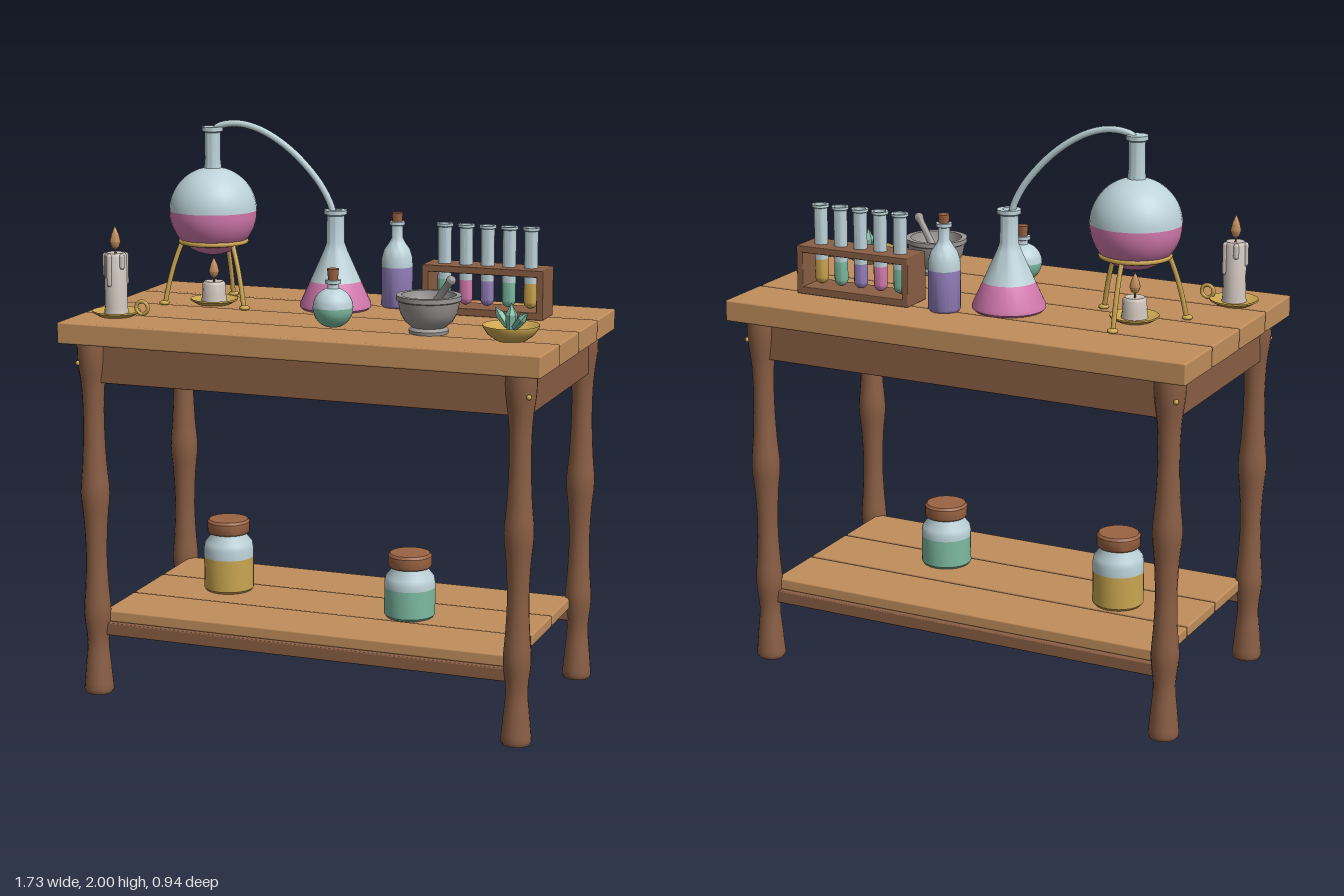
import * as THREE from 'three';
import { toCreasedNormals } from 'three/addons/utils/BufferGeometryUtils.js';
import { RoundedBoxGeometry } from 'three/addons/geometries/RoundedBoxGeometry.js';

const mat = (name, color) => {
  const m = new THREE.MeshStandardMaterial({ color });
  m.name = name;
  return m;
};

export function createModel() {
  const root = new THREE.Group();
  root.name = 'alchemyTable';
  const lightWood = mat('light wood', 0xc18e5c), darkWood = mat('dark wood', 0x8a5e44);
  const cork = mat('cork', 0x9c6443), glass = mat('glass', 0xbdd3d9);
  const pink = mat('pink liquid', 0xd67bb0), purple = mat('purple liquid', 0x9480bd);
  const green = mat('green', 0x7dbba2), gold = mat('gold', 0xcba650);
  const wax = mat('wax', 0xcfc4bc), stone = mat('stone', 0x9c9696);
  const TOP = 1.343, SHELF = 0.3;

  const group = (name, x = 0, y = 0, z = 0) => {
    const g = new THREE.Group();
    g.name = name;
    g.position.set(x, y, z);
    root.add(g);
    return g;
  };
  const add = (parent, name, geo, material, x = 0, y = 0, z = 0) => {
    const m = new THREE.Mesh(geo, material);
    m.name = name;
    m.position.set(x, y, z);
    parent.add(m);
    return m;
  };
  const box = (parent, name, m, w, h, d, x, y, z, r = 0.006) =>
    add(parent, name, new RoundedBoxGeometry(w, h, d, 2, r), m, x, y, z);
  // Turned part from [radius, height] pairs, listed bottom to top
  const turned = (parent, name, m, pts, x = 0, y = 0, z = 0, seg = 28) =>
    add(parent, name, toCreasedNormals(new THREE.LatheGeometry(
      pts.map(p => new THREE.Vector2(p[0], p[1])), seg), 0.65), m, x, y, z);
  const arc = (r, cy, a0, a1, n = 10) => Array.from({ length: n + 1 }, (_, i) => {
    const a = a0 + (a1 - a0) * i / n;
    return [Math.max(0, r * Math.cos(a)), cy + r * Math.sin(a)];
  });
  const curveTube = (parent, name, m, pts, r, seg = 24) =>
    add(parent, name, new THREE.TubeGeometry(new THREE.CatmullRomCurve3(
      pts.map(p => new THREE.Vector3(...p))), seg, r, 8), m);
  const H = Math.PI / 2;

  // Table top, shelf boards and rails
  const table = group('table');
  for (let i = 0; i < 4; i++)
    box(table, 'topPlank', lightWood, 1.725, 0.075, 0.226, 0, 1.306, (i - 1.5) * 0.238);
  for (let i = -1; i <= 1; i++)
    box(table, 'shelfPlank', lightWood, 1.5, 0.041, 0.24, 0, 0.28, i * 0.252);
  for (const s of [-1, 1]) {
    box(table, 'longApron', darkWood, 1.52, 0.143, 0.035, 0, 1.197, s * 0.38, 0.004);
    box(table, 'endApron', darkWood, 0.035, 0.143, 0.74, s * 0.785, 1.197, 0, 0.004);
    box(table, 'shelfRail', darkWood, 1.5, 0.045, 0.04, 0, 0.237, s * 0.37, 0.004);
  }
  // Turned legs, each with a peg on its outer corner
  const ctrl = [[0.053, 0.012], [0.045, 0.1], [0.038, 0.19], [0.048, 0.29], [0.042, 0.38], [0.037, 0.5],
    [0.042, 0.63], [0.051, 0.73], [0.043, 0.83], [0.037, 0.97], [0.04, 1.1], [0.052, 1.2], [0.053, 1.268]];
  const smooth = new THREE.SplineCurve(ctrl.map(p => new THREE.Vector2(...p))).getPoints(36).map(p => [p.x, p.y]);
  const legProfile = [[0, 0], [0.047, 0], ...smooth, [0, 1.268]];
  for (const sx of [-1, 1]) for (const sz of [-1, 1]) {
    turned(table, 'leg', darkWood, legProfile, sx * 0.773, 0, sz * 0.38, 16);
    add(table, 'peg', new THREE.SphereGeometry(0.009, 10, 8), gold, sx * 0.81, 1.195, sz * 0.417);
  }

  // Round flask, its lower half filled
  const still = group('roundFlask', -0.507, 0, -0.069);
  turned(still, 'flaskLiquid', pink, arc(0.156, 1.677, -H, 0.02, 12));
  turned(still, 'flaskGlass', glass, [...arc(0.156, 1.677, 0.02, 1.37, 12), [0.028, 1.86], [0.028, 1.955],
    [0.037, 1.96], [0.037, 1.975], [0, 1.975]]);
  // Tripod with bowed legs
  const ring = add(still, 'tripodRing', new THREE.TorusGeometry(0.116, 0.009, 8, 32), gold, 0, 1.57, 0);
  ring.rotation.x = H;
  for (let i = 0; i < 3; i++) {
    const a = -H + i * Math.PI * 2 / 3, c = Math.cos(a), s = Math.sin(a);
    curveTube(still, 'tripodLeg', gold, [[0.112, 1.57], [0.138, 1.5], [0.158, 1.43], [0.175, 1.352]]
      .map(([r, y]) => [c * r, y, s * r]), 0.009, 12);
    const foot = add(still, 'tripodFoot', new THREE.SphereGeometry(0.019, 12, 8), gold, c * 0.178, 1.351, s * 0.178);
    foot.scale.y = 0.5;
  }

  // Candles on saucers
  const candle = (name, x, z, r, height, flame) => {
    const g = group(name, x, TOP, z);
    turned(g, 'saucer', gold, [[0, 0], [0.06, 0], [0.084, 0.014], [0.084, 0.02], [0.06, 0.011], [0, 0.011]]);
    turned(g, 'candleWax', wax, [[r * 1.08, 0.01], [r, 0.03], [r * 0.95, height - 0.008], [r * 0.8, height], [0, height - 0.004]], 0, 0, 0, 16);
    add(g, 'wick', new THREE.CylinderGeometry(0.003, 0.003, 0.03, 6), darkWood, 0, height + 0.008, 0);
    turned(g, 'flame', lightWood, [[0, 0], [0.013, 0.012], [0.019, 0.03], [0.013, 0.055], [0.005, 0.075], [0, 0.086]]
      .map(p => [p[0], p[1] * flame]), 0, height + 0.008, 0, 12);
    return g;
  };
  candle('burnerCandle', -0.507, -0.069, 0.043, 0.082, 0.9);
  const tall = candle('tallCandle', -0.727, 0.277, 0.04, 0.222, 1);
  for (let i = 0; i < 5; i++) {
    const a = i * 1.257 + 0.5, len = 0.035 + 0.03 * (i * 2 % 3);
    add(tall, 'waxDrip', new THREE.CapsuleGeometry(0.01, len, 4, 8), wax,
      Math.cos(a) * 0.037, 0.211 - len / 2, Math.sin(a) * 0.037);
  }
  add(tall, 'saucerHandle', new THREE.TorusGeometry(0.022, 0.007, 8, 20), gold, 0.098, 0.034, 0);

  // Conical flask
  const cone = group('conicalFlask', -0.066, TOP, -0.13);
  turned(cone, 'flaskLiquid', pink, [[0, 0], [0.118, 0], [0.127, 0.008], [0.126, 0.02], [0.09, 0.1]]);
  turned(cone, 'flaskGlass', glass, [[0.09, 0.1], [0.042, 0.207], [0.032, 0.235], [0.031, 0.33], [0.041, 0.336],
    [0.041, 0.35], [0.022, 0.35], [0.02, 0.335], [0, 0.335]]);
  // Glass pipe joining the two flasks
  curveTube(root, 'glassPipe', glass, [[-0.507, 1.95, -0.069], [-0.49, 1.974, -0.071], [-0.42, 1.988, -0.081],
    [-0.335, 1.968, -0.092], [-0.23, 1.902, -0.107], [-0.13, 1.795, -0.121], [-0.085, 1.715, -0.127],
    [-0.07, 1.66, -0.13]], 0.012, 40);

  // Tall corked bottle
  const bottle = group('corkedBottle', 0.125, TOP, -0.24);
  turned(bottle, 'bottleLiquid', purple, [[0, 0], [0.05, 0], [0.056, 0.008], [0.056, 0.145]]);
  turned(bottle, 'bottleGlass', glass, [[0.056, 0.145], [0.055, 0.175], [0.046, 0.205], [0.03, 0.228], [0.021, 0.245],
    [0.02, 0.29], [0.027, 0.293], [0.027, 0.305], [0, 0.305]]);
  turned(bottle, 'bottleCork', cork, [[0.017, 0.3], [0.02, 0.335], [0, 0.335]], 0, 0, 0, 16);

  // Small round vial
  const vial = group('roundVial', 0.061, TOP, 0.23);
  turned(vial, 'vialLiquid', green, [[0, 0.004], ...arc(0.069, 0.07, -1.2, 0.03)]);
  turned(vial, 'vialGlass', glass, [...arc(0.069, 0.07, 0.03, 1.28), [0.018, 0.15], [0.027, 0.153], [0.027, 0.165], [0, 0.165]]);
  turned(vial, 'vialCork', cork, [[0.016, 0.16], [0.02, 0.203], [0, 0.203]], 0, 0, 0, 16);

  // Test tube rack
  const rack = group('testTubeRack', 0.469, TOP, -0.21);
  for (const s of [-1, 1]) box(rack, 'rackEnd', darkWood, 0.024, 0.17, 0.13, s * 0.208, 0.085, 0, 0.003);
  box(rack, 'rackTop', darkWood, 0.44, 0.024, 0.13, 0, 0.16, 0, 0.003);
  box(rack, 'rackBase', darkWood, 0.42, 0.026, 0.13, 0, 0.013, 0, 0.003);
  [green, pink, purple, green, gold].forEach((m, i) => {
    const x = (i - 2) * 0.0785;
    turned(rack, 'tubeLiquid', m, [...arc(0.024, 0.053, -H, 0, 6), [0.024, 0.118]], x, 0, 0, 16);
    turned(rack, 'testTube', glass, [[0.024, 0.118], [0.024, 0.3], [0.03, 0.303], [0.03, 0.312], [0.021, 0.312],
      [0.02, 0.295], [0, 0.295]], x, 0, 0, 16);
  });

  // Mortar and leaning pestle
  const mortar = group('mortar', 0.394, TOP, 0.203);
  turned(mortar, 'mortarBowl', stone, [[0, 0], [0.066, 0], [0.068, 0.012], [0.058, 0.022], [0.08, 0.04], [0.097, 0.07],
    [0.104, 0.11], [0.111, 0.114], [0.111, 0.13], [0.092, 0.13], [0.085, 0.085], [0.06, 0.05], [0, 0.038]]);
  const pestle = turned(mortar, 'pestle', stone, [...arc(0.025, 0.022, -H, 0.6, 6), [0.013, 0.06], [0.012, 0.155],
    ...arc(0.017, 0.18, -0.6, H, 6)], -0.02, 0.048, -0.012, 16);
  pestle.quaternion.setFromUnitVectors(new THREE.Vector3(0, 1, 0), new THREE.Vector3(0.115, 0.15, 0.045).normalize());

  // Dish of crystals
  const dish = group('crystalDish', 0.69, TOP, 0.23);
  turned(dish, 'dishBowl', gold, [[0, 0], [0.05, 0], [0.078, 0.02], [0.095, 0.045], [0.095, 0.052], [0.086, 0.046],
    [0.06, 0.022], [0, 0.015]]);
  [[0, 0, 1], [-0.038, -0.02, 0.8], [0.038, 0.02, 0.8]].forEach(([x, z, s]) => {
    const shard = add(dish, 'crystal', new THREE.CylinderGeometry(0, 0.022, 0.045, 6).toNonIndexed(), green, x, 0.07, z);
    shard.geometry.dispose();
    shard.geometry = toCreasedNormals(new THREE.LatheGeometry([[0, -0.05], [0.015, -0.045], [0.021, 0.015], [0, 0.055]]
      .map(p => new THREE.Vector2(...p)), 6), 0.1);
    shard.scale.setScalar(s);
    shard.rotation.set(z * 18, 0, -x * 18);
  });

  // Storage jars on the shelf
  const jar = (x, z, fill, level, h) => {
    const g = group('storageJar', x, SHELF, z);
    turned(g, 'jarLiquid', fill, [[0, 0], [0.083, 0], [0.09, 0.009], [0.09, level]]);
    turned(g, 'jarGlass', glass, [[0.09, level], [0.09, h - 0.105], [0.086, h - 0.085], [0.066, h - 0.06],
      [0.064, h - 0.04], [0, h - 0.04]]);
    turned(g, 'jarLid', cork, [[0, h - 0.05], [0.072, h - 0.05], [0.077, h - 0.043], [0.077, h - 0.009],
      [0.07, h], [0, h]]);
  };
  jar(-0.445, -0.035, gold, 0.125, 0.263);
  jar(0.28, 0.05, green, 0.107, 0.229);
  return root;
}
